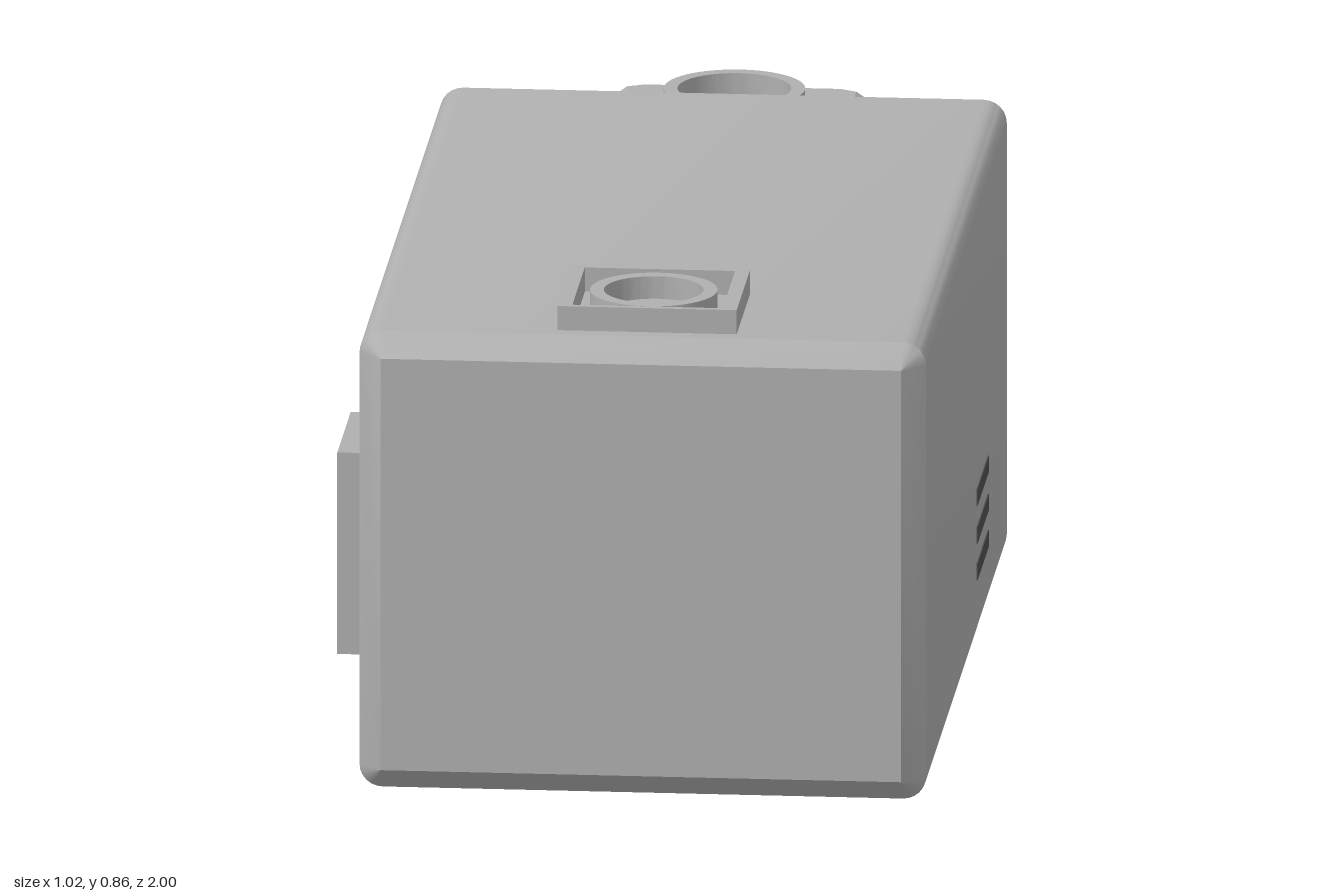
import * as THREE from 'three';
import { toCreasedNormals } from 'three/addons/utils/BufferGeometryUtils.js';

const CX = 0.02, CY = 0.4075, AXIS_Y = 0.4125;
const grey = new THREE.MeshStandardMaterial({ color: 0xb0b0b0 });
grey.name = 'casing grey';
const dark = new THREE.MeshStandardMaterial({ color: 0x505050 });
dark.name = 'vent dark grey';

function mesh(name, geometry, material = grey) {
  const m = new THREE.Mesh(geometry, material);
  m.name = name;
  return m;
}

// Skin a list of cross-sections ({ z, points }) from back to front and cap both ends
function loft(sections, cx, cy) {
  const n = sections[0].points.length, pos = [], idx = [];
  for (const { z, points } of sections) for (const [x, y] of points) pos.push(cx + x, cy + y, z);
  for (let k = 0; k < sections.length - 1; k++) {
    for (let i = 0; i < n; i++) {
      const a = k * n + i, b = k * n + (i + 1) % n;
      idx.push(a, b, b + n, a, b + n, a + n);
    }
  }
  const last = sections.length - 1, back = pos.length / 3, front = back + 1;
  pos.push(cx, cy, sections[0].z, cx, cy, sections[last].z);
  for (let i = 0; i < n; i++) {
    const j = (i + 1) % n;
    idx.push(back, j, i, front, last * n + i, last * n + j);
  }
  const g = new THREE.BufferGeometry();
  g.setAttribute('position', new THREE.Float32BufferAttribute(pos, 3));
  g.setIndex(idx);
  return toCreasedNormals(g, 0.45);
}

// Rounded rectangle of the housing, pulled in by an inset
function housingSection(z, inset) {
  const w = 0.49, h = 0.4075, r = 0.04, points = [];
  for (let q = 0; q < 4; q++) {
    const sx = q === 0 || q === 3 ? 1 : -1, sy = q < 2 ? 1 : -1;
    for (let i = 0; i <= 6; i++) {
      const a = (q + i / 6) * Math.PI / 2;
      points.push([sx * (w - r) + (r - inset) * Math.cos(a), sy * (h - r) + (r - inset) * Math.sin(a)]);
    }
  }
  return { z, points };
}

// Circle with a flat top and bottom
function drumSection(z, r) {
  const flat = 0.3125, a0 = Math.asin(flat / r), points = [];
  const arc = (from, to, steps) => {
    for (let i = 0; i < steps; i++) {
      const a = from + (to - from) * i / steps;
      points.push([r * Math.cos(a), THREE.MathUtils.clamp(r * Math.sin(a), -flat, flat)]);
    }
  };
  arc(-a0, a0, 28);
  arc(a0, Math.PI - a0, 12);
  arc(Math.PI - a0, Math.PI + a0, 28);
  arc(Math.PI + a0, 2 * Math.PI - a0, 12);
  return { z, points };
}

function rect(Type, w, h) {
  const s = new Type();
  s.moveTo(-w / 2, -h / 2);
  s.lineTo(w / 2, -h / 2);
  s.lineTo(w / 2, h / 2);
  s.lineTo(-w / 2, h / 2);
  s.closePath();
  return s;
}

// Round collar standing along +z
function collar(name, outer, inner, depth) {
  const s = new THREE.Shape().absarc(0, 0, outer, 0, Math.PI * 2);
  s.holes.push(new THREE.Path().absarc(0, 0, inner, 0, Math.PI * 2, true));
  const g = new THREE.ExtrudeGeometry(s, { depth, bevelEnabled: false, curveSegments: 40 });
  return mesh(name, toCreasedNormals(g, 0.5));
}

// Rectangular frame around a collar, standing along +z
function port(name, w, h, wallX, wallY, depth) {
  const group = new THREE.Group();
  group.name = name;
  const s = rect(THREE.Shape, w, h);
  s.holes.push(rect(THREE.Path, w - 2 * wallX, h - 2 * wallY));
  group.add(
    mesh('portFrame', new THREE.ExtrudeGeometry(s, { depth, bevelEnabled: false })),
    collar('portCollar', 0.11, 0.086, depth - 0.003)
  );
  return group;
}

export function createModel() {
  const model = new THREE.Group();
  model.name = 'boxedUnit';

  // Main housing: small chamfer at the back, wide one at the front
  model.add(mesh('housing', loft([
    housingSection(-0.64, 0.015), housingSection(-0.625, 0),
    housingSection(0.96, 0), housingSection(1, 0.04)
  ], CX, CY)));

  // Rear drum with flats
  model.add(mesh('rearDrum', loft([
    drumSection(-1, 0.355), drumSection(-0.985, 0.37),
    drumSection(-0.695, 0.37), drumSection(-0.68, 0.355)
  ], CX, AXIS_Y)));

  // Filleted neck between housing and drum
  const profile = [];
  for (let i = 0; i <= 8; i++) {
    const a = i / 8 * Math.PI / 2;
    profile.push(new THREE.Vector2(0.3525 - 0.04 * Math.sin(a), 0.04 - 0.04 * Math.cos(a)));
  }
  profile.push(new THREE.Vector2(0.3125, 0.06));
  const neck = mesh('neck', new THREE.LatheGeometry(profile, 64));
  neck.rotation.x = -Math.PI / 2;
  neck.position.set(CX, AXIS_Y, -0.64);
  model.add(neck);

  // Collar on top of the drum
  const drumCollar = collar('drumCollar', 0.122, 0.098, 0.042);
  drumCollar.rotation.x = -Math.PI / 2;
  drumCollar.position.set(CX, 0.724, -0.84);
  model.add(drumCollar);

  // Framed ports on the top and the right side
  const topPort = port('topPort', 0.31, 0.265, 0.025, 0.011, 0.043);
  topPort.rotation.x = -Math.PI / 2;
  topPort.position.set(0.025, 0.815, 0.8);
  const sidePort = port('sidePort', 0.265, 0.36, 0.011, 0.025, 0.04);
  sidePort.rotation.y = -Math.PI / 2;
  sidePort.position.set(-0.47, 0.41, 0.81);
  model.add(topPort, sidePort);

  // Three vent slots on each side
  for (const side of [-1, 1]) {
    for (const y of [0.135, 0.2, 0.268]) {
      const vent = mesh('ventSlot', new THREE.BoxGeometry(0.004, 0.03, 0.22), dark);
      vent.position.set(CX + side * 0.49, y, -0.14);
      model.add(vent);
    }
  }
  return model;
}
